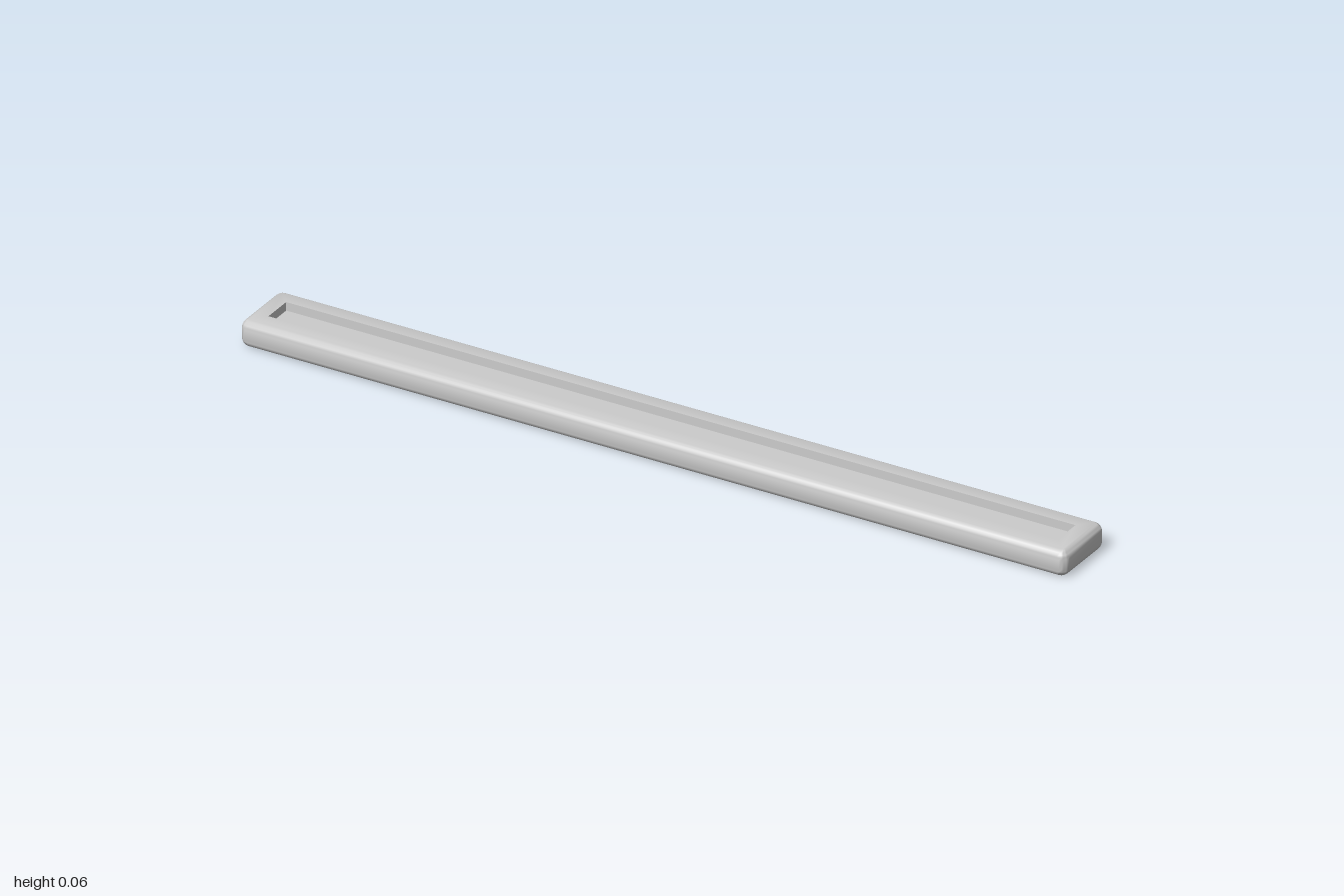
import * as THREE from 'three';
import { toCreasedNormals } from 'three/addons/utils/BufferGeometryUtils.js';

const HX = 1, HZ = 0.083, H = 0.063, R = 0.02, SEG = 6;
const SLOT_X = 0.955, SLOT_Z = 0.036, SLOT_DEPTH = 0.02;

// Rounded rectangle in plan at height y, counter-clockwise from above
function ring(hx, hz, r, y) {
  const points = [];
  const corners = [[1, 1], [-1, 1], [-1, -1], [1, -1]];
  corners.forEach(([sx, sz], q) => {
    for (let i = 0; i <= SEG; i++) {
      const a = (q + i / SEG) * Math.PI / 2;
      points.push(new THREE.Vector3(
        sx * (hx - r) + r * Math.cos(a), y, -sz * (hz - r) - r * Math.sin(a)));
    }
  });
  return points;
}

// Skin between successive rings, leaving out collapsed triangles
function loft(rings) {
  const pos = [];
  const tri = (a, b, c) => {
    if (new THREE.Triangle(a, b, c).getArea() < 1e-9) return;
    for (const p of [a, b, c]) pos.push(p.x, p.y, p.z);
  };
  for (let k = 0; k < rings.length - 1; k++) {
    const lo = rings[k], hi = rings[k + 1], n = lo.length;
    for (let j = 0; j < n; j++) {
      const m = (j + 1) % n;
      tri(lo[j], lo[m], hi[m]);
      tri(lo[j], hi[m], hi[j]);
    }
  }
  const geometry = new THREE.BufferGeometry();
  geometry.setAttribute('position', new THREE.Float32BufferAttribute(pos, 3));
  return toCreasedNormals(geometry, 0.6);
}

export function createModel() {
  const rings = [];
  // Flat underside, closed along its centre line
  rings.push(ring(HX - HZ, 0, 0, 0));
  // Rounded lower and upper edges
  for (const top of [0, 1]) {
    for (let i = 0; i <= SEG; i++) {
      const a = (top - 1 + i / SEG) * Math.PI / 2;
      const r = R * Math.cos(a), inset = R - r;
      rings.push(ring(HX - inset, HZ - inset, r,
        (top ? H - R : R) + R * Math.sin(a)));
    }
  }
  // Slot rim, slot walls and slot floor
  rings.push(ring(SLOT_X, SLOT_Z, 0, H));
  rings.push(ring(SLOT_X, SLOT_Z, 0, H - SLOT_DEPTH));
  rings.push(ring(SLOT_X - SLOT_Z, 0, 0, H - SLOT_DEPTH));

  const bar = new THREE.Mesh(loft(rings), new THREE.MeshStandardMaterial({ color: 0xcccccc }));
  bar.name = 'slottedBar';
  const group = new THREE.Group();
  group.name = 'slottedBarModel';
  group.add(bar);
  return group;
}
